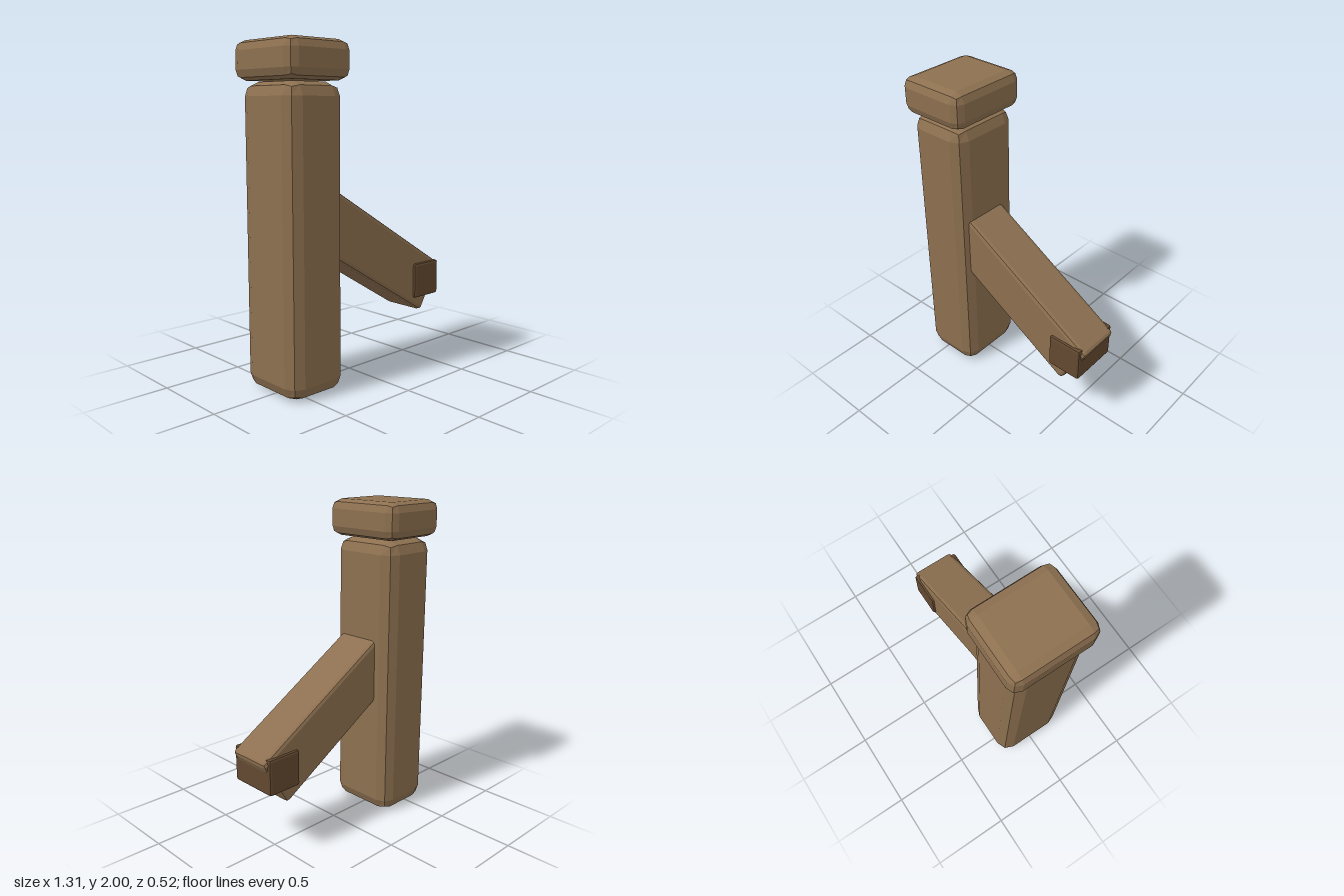
import * as THREE from 'three';
import { RoundedBoxGeometry } from 'three/addons/geometries/RoundedBoxGeometry.js';

export function createModel() {
  const model = new THREE.Group();
  model.name = 'woodenPostWithBrace';

  const wood = new THREE.MeshStandardMaterial({ color: 0x8d7050 });
  wood.name = 'wood';
  const darkWood = new THREE.MeshStandardMaterial({ color: 0x634930 });
  darkWood.name = 'dark wood';

  // Box with two-step faceted bevels
  function beveledBox(name, [w, h, d], radius, [x, y, z], material) {
    const geometry = new RoundedBoxGeometry(w, h, d, 1, radius);
    geometry.computeVertexNormals(); // unindexed, so this gives flat facets
    const mesh = new THREE.Mesh(geometry, material);
    mesh.name = name;
    mesh.position.set(x, y, z);
    model.add(mesh);
    return mesh;
  }

  // Upright post and its cap
  beveledBox('post', [0.39, 1.77, 0.46], 0.08, [-0.438, 0.887, 0], wood);
  beveledBox('cap', [0.446, 0.222, 0.522], 0.058, [-0.436, 1.889, 0], wood);

  // Slanted brace, rooted inside the post
  const angle = THREE.MathUtils.degToRad(-31.1);
  const length = 1.13;
  const endX = 0.571, endY = 0.466;
  const brace = beveledBox('brace', [length, 0.345, 0.29], 0.025,
    [endX - Math.cos(angle) * length / 2, endY - Math.sin(angle) * length / 2, 0.03], wood);
  brace.rotation.z = angle;

  // Square peg through the brace's lower end
  beveledBox('peg', [0.225, 0.225, 0.322], 0.015, [0.513, 0.528, 0.03], darkWood);

  return model;
}
